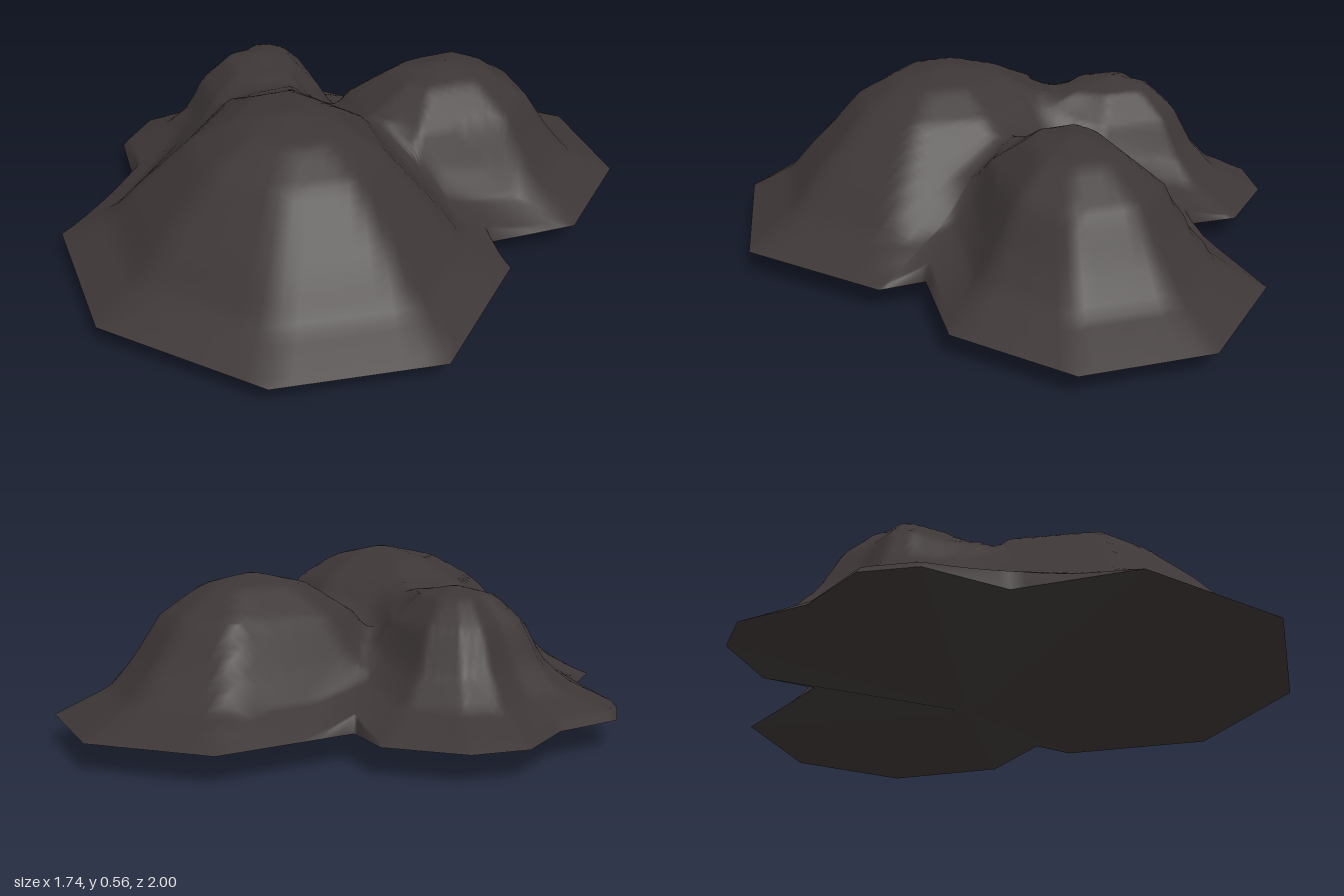
import * as THREE from 'three';

const RIM = 0.085;
const TIP = [-0.07, 0, -0.01];
const BLEND = 0.16;

// Footprint [x, z]
const OUTLINE = [[0.87, 0.29], [0.65, 0.75], [0.13, 1], [-0.37, 0.87], [-0.51, 0.53], [-0.76, 0.44],
  [-0.85, 0.29], [-0.81, 0.05], [-0.87, -0.18], [-0.79, -0.34], [-0.56, -0.45], [-0.4, -0.39],
  [-0.31, -0.83], [0.06, -1], [0.44, -0.86], [0.61, -0.49], [0.51, -0.2], [0.65, -0.16]];

// Each mound: foot polygon [x, z], peak [x, z] and profile [scale of foot, height]
const MOUNDS = [
  { // large, front
    foot: [[0.87, 0.29], [0.65, 0.75], [0.13, 1], [-0.37, 0.87], [-0.72, 0.3], [-0.57, -0.18], [0.13, -0.35], [0.65, -0.16]],
    peak: [0.13, 0.29],
    profile: [[0, 0.565], [0.24, 0.53], [0.42, 0.455], [0.67, 0.27], [0.79, 0.17], [1, RIM]],
  },
  { // medium, back
    foot: [[0.61, -0.49], [0.4, 0.12], [0.06, 0.28], [-0.38, 0.15], [-0.45, -0.15], [-0.31, -0.83], [0.06, -1], [0.44, -0.86]],
    peak: [0.08, -0.36],
    profile: [[0, 0.52], [0.25, 0.485], [0.47, 0.39], [0.61, 0.26], [0.74, 0.165], [1, RIM]],
  },
  { // small, side
    foot: [[0.28, 0.05], [0.1, 0.45], [-0.25, 0.62], [-0.76, 0.44], [-0.85, 0.29], [-0.81, 0.05],
      [-0.87, -0.18], [-0.79, -0.34], [-0.56, -0.45], [-0.05, -0.29]],
    peak: [-0.42, 0.04],
    profile: [[0, 0.485], [0.23, 0.455], [0.41, 0.37], [0.53, 0.25], [0.69, 0.16], [1, RIM]],
  },
];

// Height of one mound: find how far out the point lies towards the foot, then read the profile.
function moundHeight({ foot, peak, profile }, x, z) {
  const dx = x - peak[0], dz = z - peak[1];
  let scale = 0;
  foot.forEach(([ax, az], i) => {
    const [bx, bz] = foot[(i + 1) % foot.length];
    const ux = ax - peak[0], uz = az - peak[1], vx = bx - peak[0], vz = bz - peak[1];
    const det = ux * vz - uz * vx;
    const a = (dx * vz - dz * vx) / det, b = (ux * dz - uz * dx) / det;
    if (a >= -1e-9 && b >= -1e-9) scale = a + b;
  });
  for (let i = 1; i < profile.length; i++) {
    const [s0, y0] = profile[i - 1], [s1, y1] = profile[i];
    if (scale <= s1) return y0 + (y1 - y0) * (scale - s0) / (s1 - s0);
  }
  return RIM - (scale - 1) * 0.4;
}

// Maximum with a soft valley
function softMax(a, b) {
  const h = Math.max(BLEND - Math.abs(a - b), 0) / BLEND;
  return Math.max(a, b) + h * h * BLEND / 4;
}

function addMesh(group, name, positions, index, material) {
  const geometry = new THREE.BufferGeometry();
  geometry.setAttribute('position', new THREE.Float32BufferAttribute(positions, 3));
  if (index) geometry.setIndex(index);
  geometry.computeVertexNormals();
  const mesh = new THREE.Mesh(geometry, material);
  mesh.name = name;
  group.add(mesh);
}

// Rings growing from the middle to the footprint, raised to the joined mounds.
function addMounds(group, material) {
  const RINGS = 40, STEPS = 8;
  const rim = OUTLINE.flatMap(([x, z], i) => {
    const [u, w] = OUTLINE[(i + 1) % OUTLINE.length];
    return Array.from({ length: STEPS }, (_, k) => [x + (u - x) * k / STEPS, z + (w - z) * k / STEPS]);
  });
  const n = rim.length;
  const height = (x, z) => Math.max(RIM, MOUNDS.map((m) => moundHeight(m, x, z)).reduce(softMax));
  const positions = [TIP[0], height(TIP[0], TIP[2]), TIP[2]];
  const index = [];
  for (let r = 1; r <= RINGS; r++) {
    const t = r / RINGS;
    rim.forEach(([rx, rz], i) => {
      const x = TIP[0] + (rx - TIP[0]) * t, z = TIP[2] + (rz - TIP[2]) * t;
      positions.push(x, r === RINGS ? RIM : height(x, z), z);
      const j = (i + 1) % n;
      const a = 1 + (r - 1) * n + i, b = 1 + (r - 1) * n + j;
      if (r === 1) index.push(a, 0, b);
      else index.push(a, a - n, b, b, a - n, b - n);
    });
  }
  addMesh(group, 'mounds', positions, index, material);
}

// Shallow inverted cone that closes the bottom
function addUnderside(group, material) {
  const positions = OUTLINE.flatMap(([x, z], i) => {
    const [u, w] = OUTLINE[(i + 1) % OUTLINE.length];
    return [x, RIM, z, u, RIM, w, ...TIP];
  });
  addMesh(group, 'underside', positions, null, material);
}

export function createModel() {
  const group = new THREE.Group();
  group.name = 'rockMounds';
  const rock = new THREE.MeshStandardMaterial({ color: 0x3d3636 });
  rock.name = 'dark rock';
  addMounds(group, rock);
  addUnderside(group, rock);
  return group;
}
